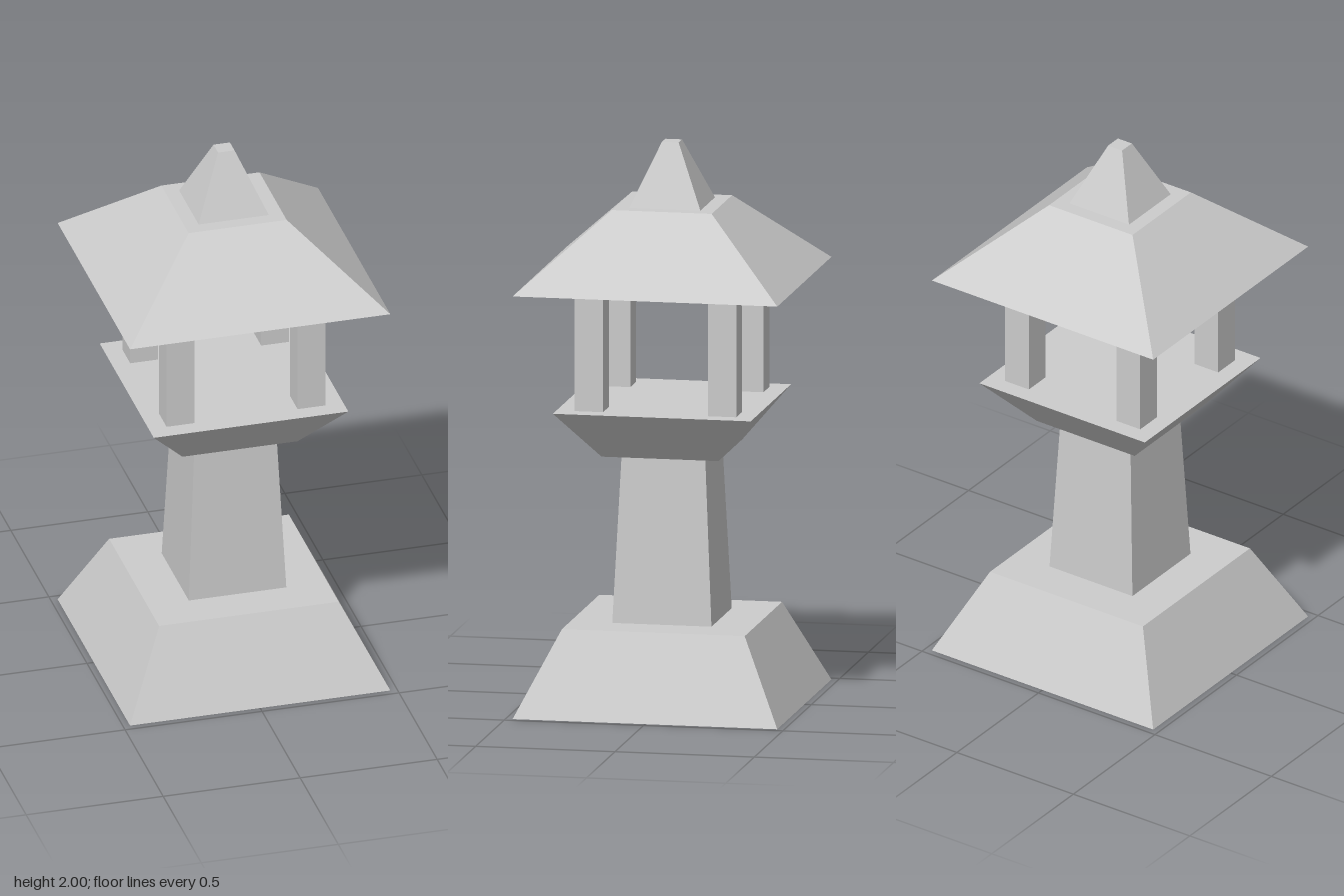
import * as THREE from 'three';

const stone = new THREE.MeshStandardMaterial({ color: 0xcccccc });
stone.name = 'stone grey';

// Square block tapering from half-width `bottom` at y0 to half-width `top` at y1
function taperedBlock(name, bottom, top, y0, y1) {
  const geometry = new THREE.CylinderGeometry(top * Math.SQRT2, bottom * Math.SQRT2, y1 - y0, 4)
    .rotateY(Math.PI / 4)
    .translate(0, (y0 + y1) / 2, 0)
    .toNonIndexed();
  geometry.computeVertexNormals(); // crisp faceted sides
  const mesh = new THREE.Mesh(geometry, stone);
  mesh.name = name;
  return mesh;
}

export function createModel() {
  const lantern = new THREE.Group();
  lantern.name = 'stoneLantern';

  // Stacked body
  lantern.add(
    taperedBlock('base', 0.475, 0.328, 0, 0.3),
    taperedBlock('pedestal', 0.178, 0.15, 0.3, 0.9),
    taperedBlock('platform', 0.21, 0.355, 0.9, 1.075),
    taperedBlock('roof', 0.475, 0.179, 1.513, 1.778),
    taperedBlock('finial', 0.128, 0.03, 1.778, 2),
  );

  // Four corner posts of the open light chamber
  const posts = new THREE.Group();
  posts.name = 'posts';
  for (const x of [-1, 1]) {
    for (const z of [-1, 1]) {
      const post = taperedBlock(`${z > 0 ? 'front' : 'back'}${x > 0 ? 'Left' : 'Right'}Post`, 0.051, 0.051, 1.075, 1.513);
      post.position.set(x * 0.239, 0, z * 0.239);
      posts.add(post);
    }
  }
  lantern.add(posts);

  return lantern;
}
